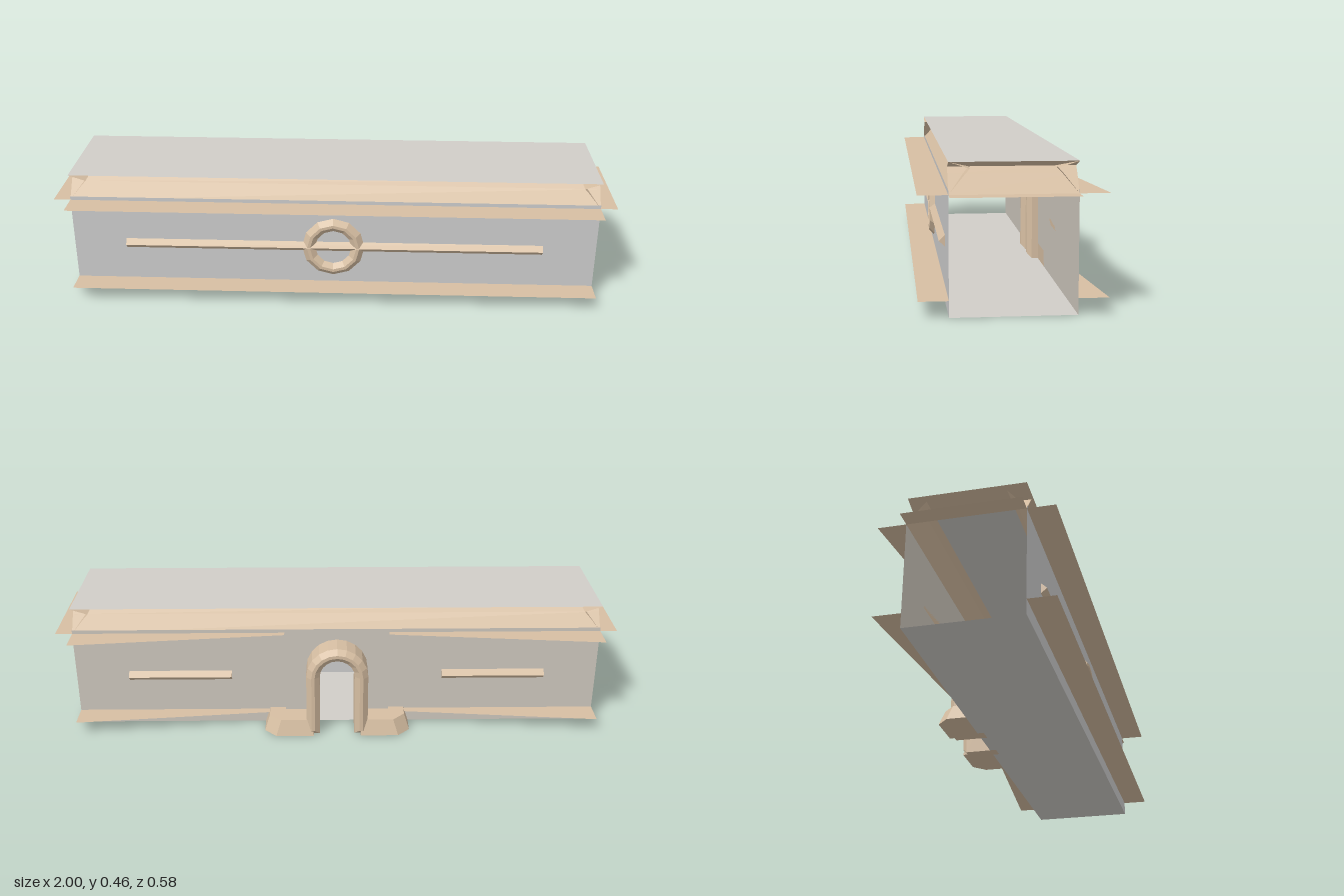
import * as THREE from 'three';

const FRONT = 0.2, BACK = -0.18, HALF = 0.94, LEDGE_Y = 0.36, ROOF_Y = 0.455;

const mat = (color) => new THREE.MeshStandardMaterial({ color, flatShading: true, side: THREE.DoubleSide });

export function createModel() {
  const model = new THREE.Group();
  const grey = mat(0xcccccc), warmGrey = mat(0xcdc6bc), slab = mat(0xd0cdc8), sand = mat(0xd6bea2);

  const add = (name, geometry, material, x = 0, y = 0, z = 0) => {
    const mesh = new THREE.Mesh(geometry, material);
    mesh.name = name;
    mesh.position.set(x, y, z);
    model.add(mesh);
    return mesh;
  };
  const polygon = (pts) => new THREE.Shape(pts.map(([x, y]) => new THREE.Vector2(x, y)));

  // Open sheet: a profile of [z, y] points swept along x
  const sheet = (profile, length) => {
    const g = new THREE.PlaneGeometry(length, 1, 1, profile.length - 1);
    const p = g.attributes.position;
    for (let i = 0; i < p.count; i++) {
      const [z, y] = profile[profile.length - 1 - Math.floor(i / 2)];
      p.setY(i, y);
      p.setZ(i, z);
    }
    const flat = g.toNonIndexed();
    flat.computeVertexNormals();
    return flat;
  };

  // Arch outline, open at the ground
  const archPoints = (r, springY) => {
    const pts = [[r, 0]];
    for (let i = 0; i <= 10; i++) {
      const a = (i / 10) * Math.PI;
      pts.push([r * Math.cos(a), springY + r * Math.sin(a)]);
    }
    pts.push([-r, 0]);
    return pts;
  };
  const wallWithArch = (half, top) =>
    new THREE.ShapeGeometry(polygon([...archPoints(0.085, 0.23), [-half, 0], [-half, top], [half, top], [half, 0]]));

  // Roof and floor slabs
  const slabGeo = new THREE.PlaneGeometry(2 * HALF, FRONT - BACK).rotateX(-Math.PI / 2);
  add('roof', slabGeo, slab, 0, ROOF_Y, (FRONT + BACK) / 2);
  add('floor', slabGeo, slab, 0, 0, (FRONT + BACK) / 2);

  // Walls; the ends stay open
  add('frontWall', new THREE.PlaneGeometry(2 * HALF, 0.373), grey, 0, 0.1865, FRONT);
  add('backWall', wallWithArch(HALF, 0.373), warmGrey, 0, 0, BACK).geometry.scale(1, 1, -1);
  add('backCentrePanel', wallWithArch(0.187, 0.36), warmGrey, 0, 0, -0.196);

  // Hollow cornice under the roof on all four sides
  const cove = [[0, LEDGE_Y], [-0.045, 0.416], [-0.062, 0.435], [0, ROOF_Y]];
  const longCove = sheet(cove, 2 * HALF), endCove = sheet(cove, FRONT - BACK);
  const midZ = (FRONT + BACK) / 2;
  add('frontCornice', longCove, sand, 0, 0, FRONT);
  add('backCornice', longCove, sand, 0, 0, BACK).rotation.y = Math.PI;
  for (const s of [1, -1]) add('endCornice', endCove, sand, s * HALF, 0, midZ).rotation.y = (s * Math.PI) / 2;

  // Thin ledges: straight at the front, tapering to the centre at the back
  const frontLedge = sheet([[0.09, 0], [0, 0]], 2 * HALF);
  for (const y of [0.05, LEDGE_Y]) {
    add('frontLedge', frontLedge, sand, 0, y, FRONT);
    for (const s of [1, -1]) {
      const pts = [[s * HALF, -BACK], [s * HALF, 0.273], [s * 0.187, 0.2], [s * 0.187, -BACK]];
      add('backLedge', new THREE.ShapeGeometry(polygon(pts)).rotateX(-Math.PI / 2), sand, 0, y, 0);
    }
  }
  const endLedge = sheet([[0.06, 0], [0, 0]], FRONT - BACK);
  for (const s of [1, -1]) add('endLedge', endLedge, sand, s * HALF, LEDGE_Y, midZ).rotation.y = (s * Math.PI) / 2;

  // Ridged bars with triangular section
  const bar = (length) =>
    new THREE.ExtrudeGeometry(polygon([[0, -0.018], [0.019, 0], [0, 0.018]]), { depth: length, bevelEnabled: false })
      .translate(0, 0, -length / 2).rotateY(-Math.PI / 2);
  add('frontBar', bar(1.5), sand, 0, 0.192, FRONT);
  for (const s of [1, -1]) add('backBar', bar(0.37), sand, s * 0.565, 0.192, BACK).rotation.y = Math.PI;

  // Round medallion with a dished centre
  const ring = [[0.113, 0], [0.094, 0.018], [0.083, 0.018], [0.065, 0.002]].map(([r, h]) => new THREE.Vector2(r, h));
  add('medallion', new THREE.LatheGeometry(ring, 12).rotateX(Math.PI / 2), sand, 0, 0.19, FRONT);

  // Bevelled doorway arch running through the back wall
  const frame = polygon([...archPoints(0.11, 0.23), ...archPoints(0.062, 0.23).reverse()]);
  add('doorArch', new THREE.ExtrudeGeometry(frame, {
    depth: 0.116, bevelThickness: 0.017, bevelSize: 0.018, bevelOffset: -0.018, bevelSegments: 1,
  }), sand, 0, 0, -0.273);

  // Flared feet beside the doorway
  for (const s of [1, -1]) {
    const plan = polygon([[0.085, 0.18], [0.262, 0.18], [0.262, 0.25], [0.22, 0.292], [0.085, 0.292]].map(([x, z]) => [s * x, z]));
    const g = new THREE.ExtrudeGeometry(plan, { depth: 0.056, bevelEnabled: false }).rotateX(-Math.PI / 2);
    const p = g.attributes.position;
    for (let i = 0; i < p.count; i++) {
      if (p.getY(i) < 0.01) continue;
      if (Math.abs(p.getX(i)) > 0.1) p.setX(i, p.getX(i) - s * 0.018);
      if (p.getZ(i) < -0.2) p.setZ(i, p.getZ(i) + 0.017);
    }
    g.computeVertexNormals();
    add('doorFoot', g, sand);
  }
  return model;
}
